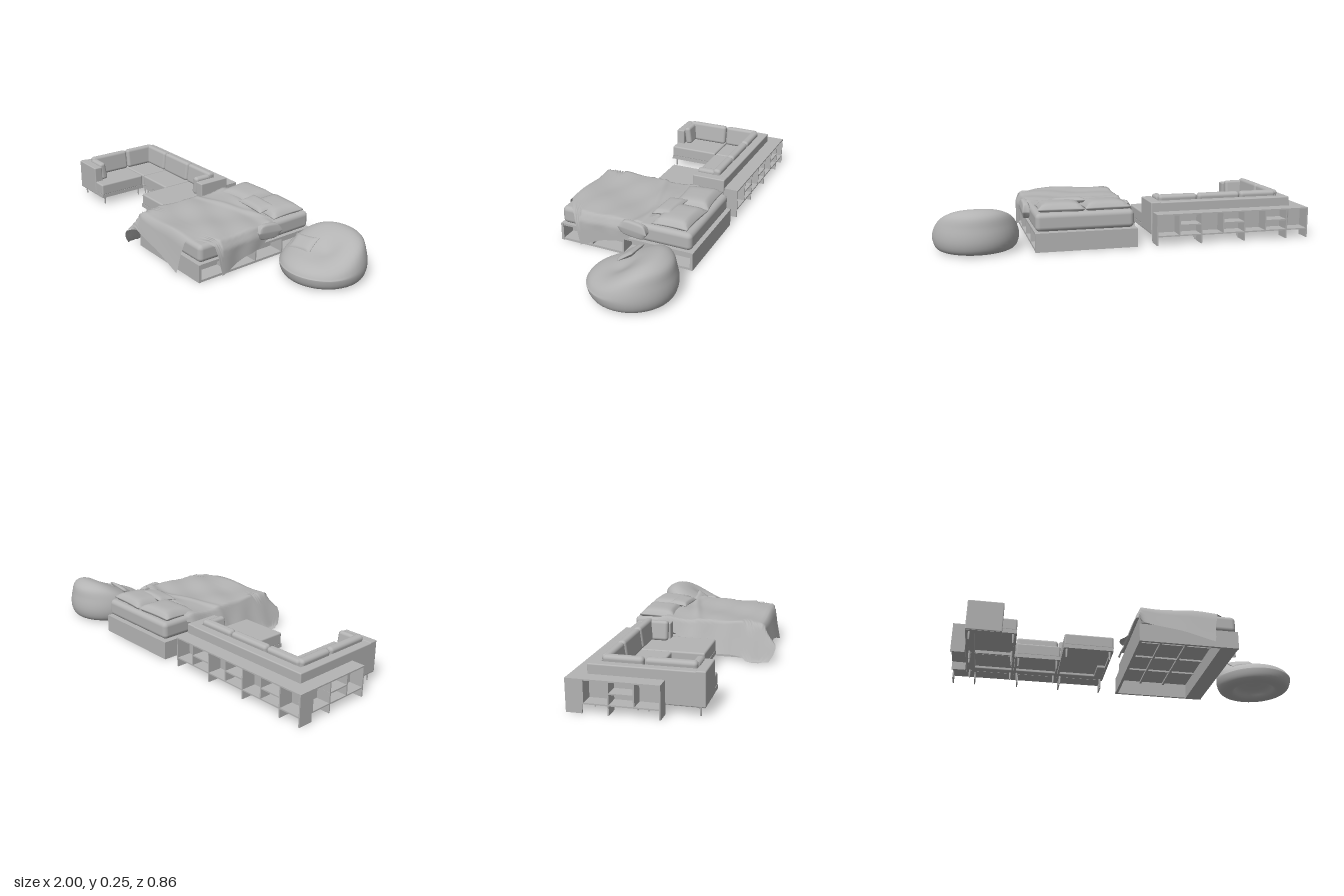
import * as THREE from 'three';
import { mergeVertices } from 'three/addons/utils/BufferGeometryUtils.js';
import { RoundedBoxGeometry } from 'three/addons/geometries/RoundedBoxGeometry.js';

const clay = new THREE.MeshStandardMaterial({ color: 0xb4b4b4, side: THREE.DoubleSide });
clay.name = 'clay grey';

function add(parent, name, geo) {
  const m = new THREE.Mesh(geo, clay);
  m.name = name;
  parent.add(m);
  return m;
}

function group(parent, name) {
  const g = new THREE.Group();
  g.name = name;
  parent.add(g);
  return g;
}

// box given by its extents; r > 0 rounds the edges
function slab(parent, name, x0, x1, y0, y1, z0, z1, r = 0) {
  const s = [x1 - x0, y1 - y0, z1 - z0];
  const geo = r ? new RoundedBoxGeometry(...s, 3, r) : new THREE.BoxGeometry(...s);
  const m = add(parent, name, geo);
  m.position.set((x0 + x1) / 2, (y0 + y1) / 2, (z0 + z1) / 2);
  return m;
}

function smooth(geo) {
  geo.deleteAttribute('normal');
  geo.deleteAttribute('uv');
  const g = mergeVertices(geo, 1e-5);
  g.computeVertexNormals();
  return g;
}

// stuffed pillow: thick in the middle, thin at the seam, sides pulled in
function pillow(parent, name, w, h, d, x, y, z) {
  const geo = new THREE.BoxGeometry(w, h, d, 12, 2, 12);
  const p = geo.attributes.position;
  for (let i = 0; i < p.count; i++) {
    const u = THREE.MathUtils.clamp(2 * p.getX(i) / w, -1, 1);
    const v = THREE.MathUtils.clamp(2 * p.getZ(i) / d, -1, 1);
    const puff = 0.1 + 0.9 * Math.sqrt((1 - u ** 4) * (1 - v ** 4));
    p.setXYZ(i, p.getX(i) * (0.93 + 0.07 * v * v), p.getY(i) * puff, p.getZ(i) * (0.93 + 0.07 * u * u));
  }
  const m = add(parent, name, smooth(geo));
  m.position.set(x, y, z);
  return m;
}

function buildBookcase(root) {
  const g = group(root, 'lowBookcase');
  const t = 0.007;
  for (const [name, y] of [['topBoard', 0.158], ['bottomShelf', 0.045]]) {
    slab(g, name, -1, -0.14, y, y + t, -0.4, -0.32);
    slab(g, name + 'Return', -1, -0.925, y, y + t, -0.32, 0.05);
  }
  // dividers, every second one standing on the floor
  for (let i = 0; i <= 7; i++) {
    const x = -1 + i * (0.86 - t) / 7;
    slab(g, 'divider', x, x + t, i === 0 || i % 2 ? 0 : 0.045, 0.158, -0.4, -0.32);
    if (i % 2 && i < 7) slab(g, 'middleShelf', x, x + 0.122, 0.1, 0.107, -0.4, -0.32);
  }
  for (let i = 0; i < 4; i++) {
    const z = -0.32 + i * 0.121;
    slab(g, 'returnDivider', -1, -0.925, i % 2 ? 0 : 0.045, 0.158, z, z + t);
  }
  slab(g, 'returnMiddleShelf', -1, -0.925, 0.1, 0.107, -0.2, -0.075);
}

function buildSofa(root) {
  const g = group(root, 'cornerSofa');
  // seat modules: x0, x1, z0, z1
  const seats = [[-0.922, -0.66, -0.06, 0.235], [-0.922, -0.657, -0.32, -0.062],
    [-0.655, -0.407, -0.32, -0.06], [-0.404, -0.132, -0.32, 0.112]];
  const rail = 0.012;
  for (const [x0, x1, z0, z1] of seats) {
    // open rail frame under each cushion
    for (const x of [x0, x1 - rail]) slab(g, 'seatRail', x, x + rail, 0.045, 0.067, z0, z1);
    for (const z of [z0, z1 - rail]) slab(g, 'seatRail', x0 + rail, x1 - rail, 0.045, 0.067, z, z + rail);
    slab(g, 'seatCushion', x0 + 0.002, x1 - 0.001, 0.062, 0.13, z0 + 0.002, z1 - 0.001, 0.009);
    for (const x of [x0 + 0.018, x1 - 0.018]) for (const z of [z0 + 0.025, z1 - 0.025]) {
      const leg = add(g, 'leg', new THREE.CylinderGeometry(0.007, 0.004, 0.062, 10));
      leg.position.set(x, 0.031, z);
    }
  }
  // outer shell
  slab(g, 'backFrame', -0.925, -0.132, 0.046, 0.215, -0.32, -0.265, 0.006);
  slab(g, 'sideFrame', -0.925, -0.875, 0.046, 0.215, -0.32, 0.237, 0.006);
  slab(g, 'frontArm', -0.925, -0.735, 0.046, 0.218, 0.188, 0.238, 0.006);
  slab(g, 'rightArm', -0.187, -0.131, 0.046, 0.217, -0.32, -0.13, 0.006);
  // loose back cushions, leaning slightly
  for (const [x0, x1] of [[-0.865, -0.657], [-0.653, -0.41], [-0.406, -0.19]])
    slab(g, 'backCushion', x0, x1, 0.128, 0.244, -0.268, -0.222, 0.017).rotation.x = -0.12;
  for (const [z0, z1] of [[-0.262, -0.064], [-0.058, 0.188]])
    slab(g, 'sideCushion', -0.878, -0.835, 0.128, 0.245, z0, z1, 0.017).rotation.z = 0.12;
  slab(g, 'armCushion', -0.232, -0.192, 0.128, 0.235, -0.24, -0.135, 0.016).rotation.z = -0.15;
  slab(g, 'armCushion', -0.865, -0.745, 0.128, 0.235, 0.148, 0.188, 0.016).rotation.x = 0.15;
}

// piecewise linear look-up in rows of [t, a, b, c, d]
function lookUp(rows, t) {
  let i = 0;
  while (i < rows.length - 2 && t > rows[i + 1][0]) i++;
  const [a, b] = [rows[i], rows[i + 1]], k = (t - a[0]) / (b[0] - a[0]);
  return a.map((v, j) => v + (b[j] - v) * k);
}

// blanket: a flat cloth outline bent down where it passes the mattress edge
function blanketGeometry() {
  // t, left x, left z, right x, right z of the unfolded cloth
  const rows = [[0, -0.06, -0.25, 0.58, -0.1], [0.1, -0.09, -0.2, 0.59, -0.06], [0.5, -0.2, 0.08, 0.63, 0.08],
    [0.76, -0.21, 0.25, 0.695, 0.23], [0.82, -0.3, 0.31, 0.52, 0.27], [0.88, -0.31, 0.345, 0.39, 0.35],
    [1, -0.08, 0.455, 0.355, 0.555]];
  const nu = 60, nv = 50;
  const geo = new THREE.PlaneGeometry(1, 1, nu, nv);
  const p = geo.attributes.position;
  for (let j = 0; j <= nv; j++) {
    const [t, lx, lz, rx, rz] = lookUp(rows, j / nv);
    for (let i = 0; i <= nu; i++) {
      const s = i / nu;
      const fx = lx + (rx - lx) * s, fz = lz + (rz - lz) * s;
      const dl = Math.max(0, -0.03 - fx), dr = Math.max(0, fx - 0.497), df = Math.max(0, fz - 0.362);
      const drop = Math.hypot(dl, dr, df);
      const x = Math.min(0.497, Math.max(-0.03, fx)) - dl * 0.38 + Math.min(0.022, dr * 0.5);
      const z = Math.min(0.362, fz) + df * 0.2 + dl * df * 8;
      const wave = 0.004 * Math.sin(fx * 17 + fz * 9) + 0.003 * Math.sin(fz * 31 - fx * 12);
      // folded-over top end and the diagonal crease across the cloth
      const fold = 0.012 * Math.exp(-(((t - 0.07) / 0.07) ** 2));
      const crease = 0.007 * Math.exp(-(((fz + 0.02 + 0.26 * fx) / 0.02) ** 2));
      const y = 0.204 + wave + fold + crease - drop * 0.97;
      const sway = Math.min(1, drop * 12) * 0.004 * Math.sin(fz * 38);
      p.setXYZ(j * (nu + 1) + i, x + sway, Math.max(0.008, y), z);
    }
  }
  geo.computeVertexNormals();
  return geo;
}

function buildBed(root) {
  const g = group(root, 'bed');
  // hollow base with open storage on the right side
  slab(g, 'headPanel', -0.037, 0.497, 0.002, 0.1, -0.4, -0.385);
  slab(g, 'footPanel', -0.037, 0.497, 0.002, 0.1, 0.345, 0.36);
  slab(g, 'leftPanel', -0.037, -0.022, 0.002, 0.1, -0.385, 0.345);
  slab(g, 'storageBack', 0.4, 0.408, 0.002, 0.09, -0.385, 0.345);
  slab(g, 'storageFloor', 0.4, 0.495, 0.002, 0.014, -0.385, 0.345);
  for (const z of [-0.2, -0.015, 0.17]) slab(g, 'storageDivider', 0.4, 0.495, 0.014, 0.09, z, z + 0.008);
  slab(g, 'deck', -0.022, 0.495, 0.088, 0.1, -0.385, 0.345);
  for (const x of [0.11, 0.25]) slab(g, 'underRail', x, x + 0.012, 0.076, 0.088, -0.385, 0.345);
  for (const z of [-0.2, -0.015, 0.17]) slab(g, 'crossRail', -0.022, 0.4, 0.078, 0.088, z, z + 0.008);
  slab(g, 'mattress', -0.023, 0.492, 0.102, 0.197, -0.387, 0.352, 0.025);

  for (const x of [0.115, 0.35]) {
    const m = pillow(g, 'pillow', 0.24, 0.07, 0.2, x, 0.205, -0.265);
    m.rotation.set(0.05, x < 0.2 ? 0.04 : -0.06, 0);
  }
  pillow(g, 'smallCushion', 0.2, 0.035, 0.105, 0.295, 0.224, -0.185).rotation.set(0.12, -0.08, 0);

  add(g, 'blanket', blanketGeometry());
  // bunched end hanging at the right edge
  pillow(g, 'blanketBunch', 0.045, 0.085, 0.16, 0.507, 0.17, -0.08).rotation.x = -0.12;
}

function buildBeanBag(root) {
  const g = group(root, 'beanBag');
  // closed profile with a hollow underside
  const pts = [[0, 0.06], [0.09, 0.045], [0.13, 0.006], [0.18, 0.005], [0.209, 0.025], [0.221, 0.075], [0.211, 0.14],
    [0.18, 0.195], [0.125, 0.225], [0.06, 0.234], [0, 0.235]].map(([r, y]) => new THREE.Vector2(r, y));
  const profile = new THREE.SplineCurve(pts).getPoints(40);
  const geo = new THREE.LatheGeometry(profile, 40);
  const p = geo.attributes.position;
  for (let i = 0; i < p.count; i++) {
    const x = p.getX(i), z = p.getZ(i);
    let y = Math.max(0.004, p.getY(i));
    // the crown leans back
    const lean = 0.025 * THREE.MathUtils.smoothstep(y, 0.13, 0.235);
    // slope down to the front, with a dimple for sitting
    const upper = THREE.MathUtils.smoothstep(y, 0.05, 0.12);
    y *= 1 - 0.4 * upper * THREE.MathUtils.smoothstep(z, -0.13, 0.15);
    y -= 0.02 * upper * Math.exp(-((x - 0.05) ** 2 + (z - 0.05) ** 2) / 0.004);
    p.setXYZ(i, x, y, z - lean);
  }
  add(g, 'bag', smooth(geo)).position.set(0.778, 0, -0.213);
  pillow(g, 'bagCushion', 0.15, 0.028, 0.1, 0.69, 0.15, -0.155).rotation.set(0.6, 0.12, 0.1);
}

export function createModel() {
  const root = new THREE.Group();
  root.name = 'furnitureSet';
  buildBookcase(root);
  buildSofa(root);
  buildBed(root);
  buildBeanBag(root);
  return root;
}
